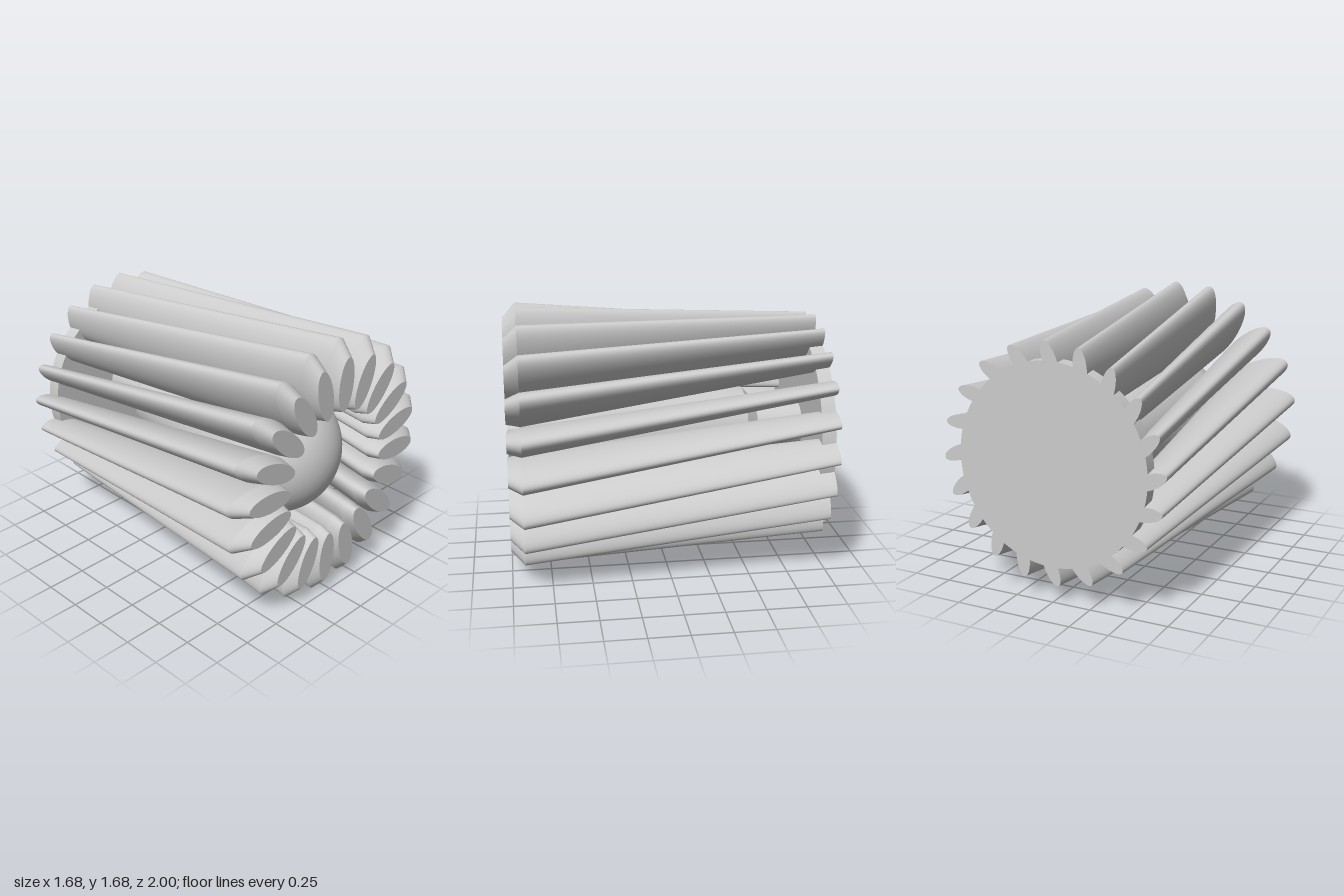
import * as THREE from 'three';
import { mergeGeometries, toCreasedNormals } from 'three/addons/utils/BufferGeometryUtils.js';

const AXIS_Y = 0.845, FINS = 20, SIDES = 48;
const TWIST = THREE.MathUtils.degToRad(19.7);

// Elliptical outline: radial half-length a, tangential half-width b, long axis at angle dir
function ellipse(cx, cy, z, a, b, dir) {
  const pts = [];
  for (let i = 0; i < SIDES; i++) {
    const t = (i / SIDES) * Math.PI * 2;
    const u = a * Math.cos(t), v = b * Math.sin(t);
    pts.push([cx + u * Math.cos(dir) - v * Math.sin(dir), cy + u * Math.sin(dir) + v * Math.cos(dir), z]);
  }
  return pts;
}

function build(points, index) {
  const g = new THREE.BufferGeometry();
  g.setAttribute('position', new THREE.Float32BufferAttribute(points.flat(), 3));
  g.setIndex(index);
  g.computeVertexNormals();
  return g;
}

// Side wall from a rear outline to a front outline
function band(rear, front) {
  const index = [];
  for (let i = 0; i < SIDES; i++) {
    const j = (i + 1) % SIDES;
    index.push(i, j, SIDES + j, i, SIDES + j, SIDES + i);
  }
  return build([...rear, ...front], index);
}

function cap(ring, facesFront) {
  const index = [];
  for (let i = 1; i < SIDES - 1; i++) index.push(0, facesFront ? i : i + 1, facesFront ? i + 1 : i);
  return build(ring, index);
}

// Straight tapered fin, leaning round the axis towards the back
function finGeometry(dir) {
  const c = Math.cos(dir), s = Math.sin(dir);
  const rearX = 0.735 * Math.cos(dir + TWIST) - 0.12 * c;
  const rearY = 0.735 * Math.sin(dir + TWIST) - 0.12 * s;
  const rear = ellipse(rearX, rearY, -1, 0.12, 0.045, dir);
  const shoulder = ellipse(0.615 * c, 0.615 * s, 0.915, 0.23, 0.086, dir);
  const tip = ellipse(0.58 * c, 0.58 * s, 1, 0.17, 0.064, dir);
  return mergeGeometries([cap(rear, false), band(rear, shoulder), band(shoulder, tip), cap(tip, true)]);
}

export function createModel() {
  const model = new THREE.Group();
  const material = new THREE.MeshStandardMaterial({ color: 0xcccccc });
  const add = (name, geometry) => {
    const mesh = new THREE.Mesh(geometry, material);
    mesh.name = name;
    mesh.position.y = AXIS_Y;
    model.add(mesh);
  };

  // Ring of fins
  for (let i = 0; i < FINS; i++) {
    add('fin', finGeometry(THREE.MathUtils.degToRad(85.3) + (i * Math.PI * 2) / FINS));
  }

  // Domed core, tapering to a chamfered rear end
  const profile = [[0, -0.61], [0.18, -0.61], [0.26, -0.53]].map(([r, z]) => new THREE.Vector2(r, z));
  for (let i = 0; i <= 20; i++) {
    const t = (i / 20) * Math.PI / 2;
    profile.push(new THREE.Vector2(i === 20 ? 0 : 0.42 * Math.cos(t), 0.5 + 0.42 * Math.sin(t)));
  }
  add('core', toCreasedNormals(new THREE.LatheGeometry(profile, 64).rotateX(Math.PI / 2), 0.5));

  // Shaft joining the core to the back plate
  add('shaft', new THREE.CylinderGeometry(0.15, 0.15, 0.36, 48).rotateX(Math.PI / 2).translate(0, 0, -0.77));

  // Back plate holding the fins
  add('backPlate', new THREE.CylinderGeometry(0.62, 0.62, 0.09, 96).rotateX(Math.PI / 2).translate(0, 0, -0.955));

  return model;
}
